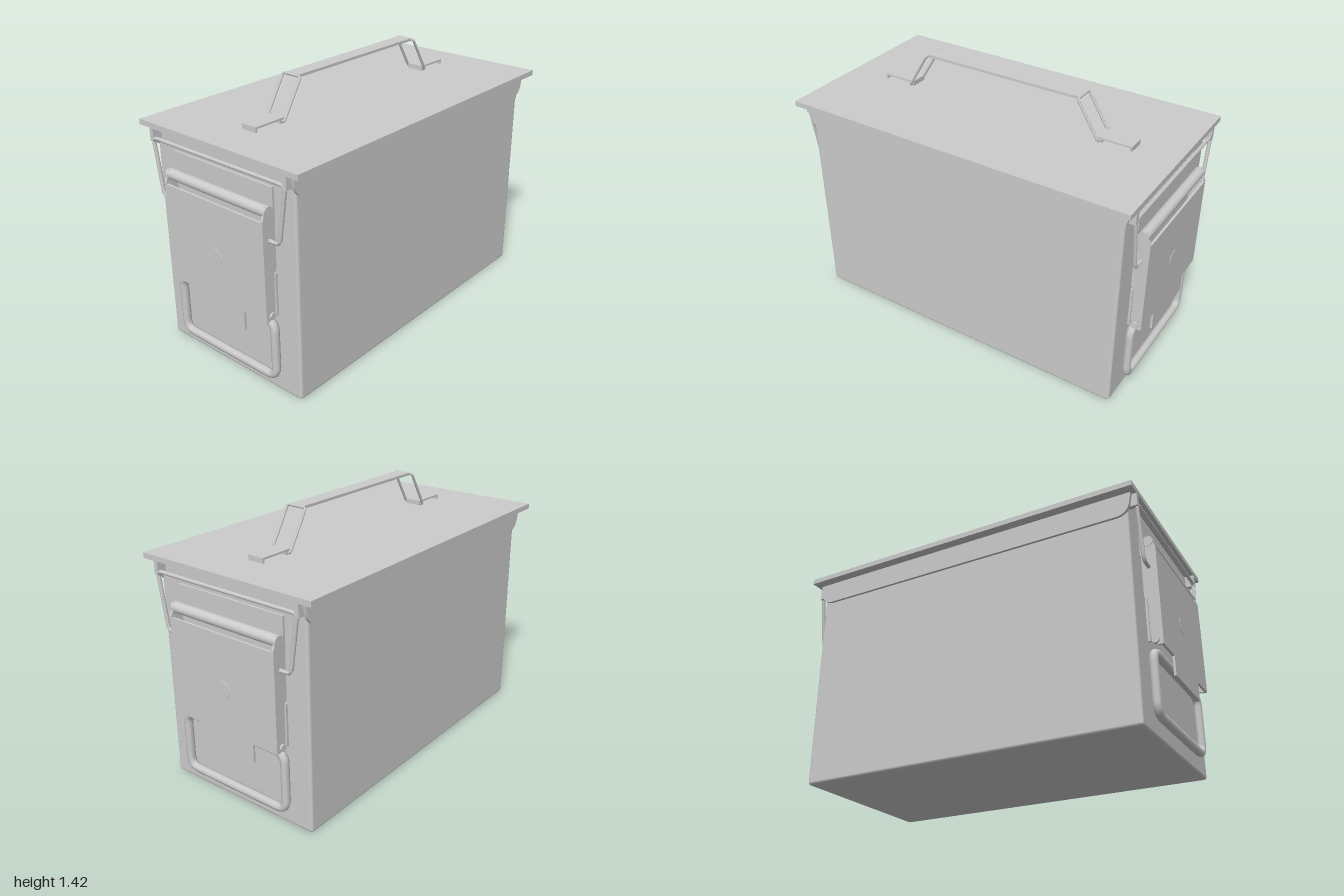
import * as THREE from 'three';
import { RoundedBoxGeometry } from 'three/addons/geometries/RoundedBoxGeometry.js';

const material = new THREE.MeshStandardMaterial({ color: 0xcccccc, side: THREE.DoubleSide });
const V = (x, y, z) => new THREE.Vector3(x, y, z);

function add(parent, name, geometry, x = 0, y = 0, z = 0) {
  const mesh = new THREE.Mesh(geometry, material);
  mesh.name = name;
  mesh.position.set(x, y, z);
  parent.add(mesh);
  return mesh;
}

// Box given by its minimum and maximum corners
function addBox(parent, name, [x0, y0, z0], [x1, y1, z1]) {
  return add(parent, name, new THREE.BoxGeometry(x1 - x0, y1 - y0, z1 - z0),
    (x0 + x1) / 2, (y0 + y1) / 2, (z0 + z1) / 2);
}

// Closed wire loop through corner points, each corner rounded by r
function wireLoop(points, r, radius, segments = 96) {
  const path = new THREE.CurvePath();
  const n = points.length;
  const toward = (a, b) => a.clone().add(b.clone().sub(a).setLength(r));
  points.forEach((p, i) => {
    const prev = points[(i + n - 1) % n], next = points[(i + 1) % n];
    path.add(new THREE.QuadraticBezierCurve3(toward(p, prev), p, toward(p, next)));
    path.add(new THREE.LineCurve3(toward(p, next), toward(next, p)));
  });
  return new THREE.TubeGeometry(path, segments, radius, 8, true);
}

function shapeOf(points) {
  return new THREE.Shape(points.map(([x, y]) => new THREE.Vector2(x, y)));
}

// Flat plate with a profile in z and y, extruded outward along x
function endPlate(points, depth) {
  const g = new THREE.ExtrudeGeometry(shapeOf(points.map(([z, y]) => [-z, y])), { depth, bevelEnabled: false });
  return g.rotateY(Math.PI / 2);
}

// Latch, wire bail and carrying loop of one end
function makeEnd(name) {
  const end = new THREE.Group();
  end.name = name;

  addBox(end, 'hingePlate', [0.91, 0.9, -0.33], [0.932, 1.08, 0.33]);
  add(end, 'latchCover', endPlate([
    [-0.33, 0.93], [-0.33, 0.42], [-0.18, 0.42], [-0.18, 0.32],
    [0.18, 0.32], [0.18, 0.42], [0.33, 0.42], [0.33, 0.93],
  ], 0.012), 0.988);

  // Bent-in cheeks on both edges of the cover
  const cheek = new THREE.ExtrudeGeometry(shapeOf([
    [1, 0.42], [1, 0.935], [0.975, 1], [0.945, 0.99], [0.925, 0.95],
    [0.925, 0.68], [0.937, 0.65], [0.937, 0.47], [0.975, 0.42],
  ]), { depth: 0.012, bevelEnabled: false });
  for (const s of [-1, 1]) {
    add(end, 'latchCheek', cheek, 0, 0, s * 0.326 - 0.006);
    addBox(end, 'cheekLip', [0.93, 0.44, s * 0.335 - 0.006], [0.942, 0.66, s * 0.335 + 0.006]);
    const pin = add(end, 'loopPin', new THREE.CylinderGeometry(0.018, 0.018, 0.02, 12), 0.965, 0.445, s * 0.332);
    pin.rotation.x = Math.PI / 2;
  }
  const barrel = add(end, 'hingeBarrel', new THREE.CylinderGeometry(0.028, 0.028, 0.67, 16), 0.962, 0.972, 0);
  barrel.rotation.x = Math.PI / 2;

  // Shallow rivet
  const rivet = add(end, 'rivet', new THREE.CylinderGeometry(0.046, 0.049, 0.006, 12), 0.999, 0.65, 0);
  rivet.rotation.z = -Math.PI / 2;

  add(end, 'carryLoop', wireLoop([
    V(0.945, 0.4, 0.325), V(0.945, 0.4, -0.325), V(0.945, 0.09, -0.325), V(0.945, 0.09, 0.325),
  ], 0.055, 0.022));
  add(end, 'latchBail', wireLoop([
    V(0.96, 1.128, 0.44), V(0.96, 1.128, -0.44), V(0.96, 0.832, -0.395), V(0.96, 0.832, 0.395),
  ], 0.025, 0.01));

  // Ears that hang the bail from the lid
  for (const s of [-1, 1]) {
    addBox(end, 'bailEar', [0.915, 1.11, s * 0.442 - 0.012], [0.968, 1.185, s * 0.442 + 0.012]);
  }
  return end;
}

export function createModel() {
  const model = new THREE.Group();
  model.name = 'storageCan';

  // Body and lid
  add(model, 'body', new RoundedBoxGeometry(1.84, 1.18, 0.92, 2, 0.015), 0, 0.59, 0);
  addBox(model, 'lid', [-0.97, 1.178, -0.525], [0.97, 1.206, 0.525]);

  // Rounded skirts below the lid on front and back
  const skirt = new THREE.Shape();
  skirt.moveTo(-0.945, 1.18);
  skirt.lineTo(-0.935, 1.12);
  skirt.quadraticCurveTo(-0.92, 1.06, -0.86, 1.06);
  skirt.lineTo(0.86, 1.06);
  skirt.quadraticCurveTo(0.92, 1.06, 0.935, 1.12);
  skirt.lineTo(0.945, 1.18);
  const skirtGeometry = new THREE.ExtrudeGeometry(skirt, { depth: 0.018, bevelEnabled: false, curveSegments: 8 });
  add(model, 'frontSkirt', skirtGeometry, 0, 0, 0.456);
  add(model, 'backSkirt', skirtGeometry, 0, 0, -0.474);

  // Top handle: flat grip, two wire links and two lid brackets
  const handle = new THREE.Group();
  handle.name = 'topHandle';
  model.add(handle);
  addBox(handle, 'grip', [-0.45, 1.4, -0.042], [0.45, 1.414, 0.042]);
  for (const s of [-1, 1]) {
    add(handle, 'handleLink', wireLoop([
      V(s * 0.45, 1.409, 0.057), V(s * 0.45, 1.409, -0.057),
      V(s * 0.57, 1.214, -0.057), V(s * 0.57, 1.214, 0.057),
    ], 0.012, 0.007, 64));
    const bracket = new THREE.ExtrudeGeometry(shapeOf([
      [0.555, 1.206], [0.555, 1.233], [0.745, 1.233], [0.745, 1.206],
      [0.735, 1.206], [0.735, 1.223], [0.585, 1.223], [0.585, 1.206],
    ].map(([x, y]) => [s * x, y])), { depth: 0.092, bevelEnabled: false });
    add(handle, 'handleBracket', bracket, 0, 0, -0.046);
  }

  // Matching hardware on both ends
  const left = makeEnd('leftEnd');
  const right = makeEnd('rightEnd');
  right.rotation.y = Math.PI;
  model.add(left, right);
  return model;
}
